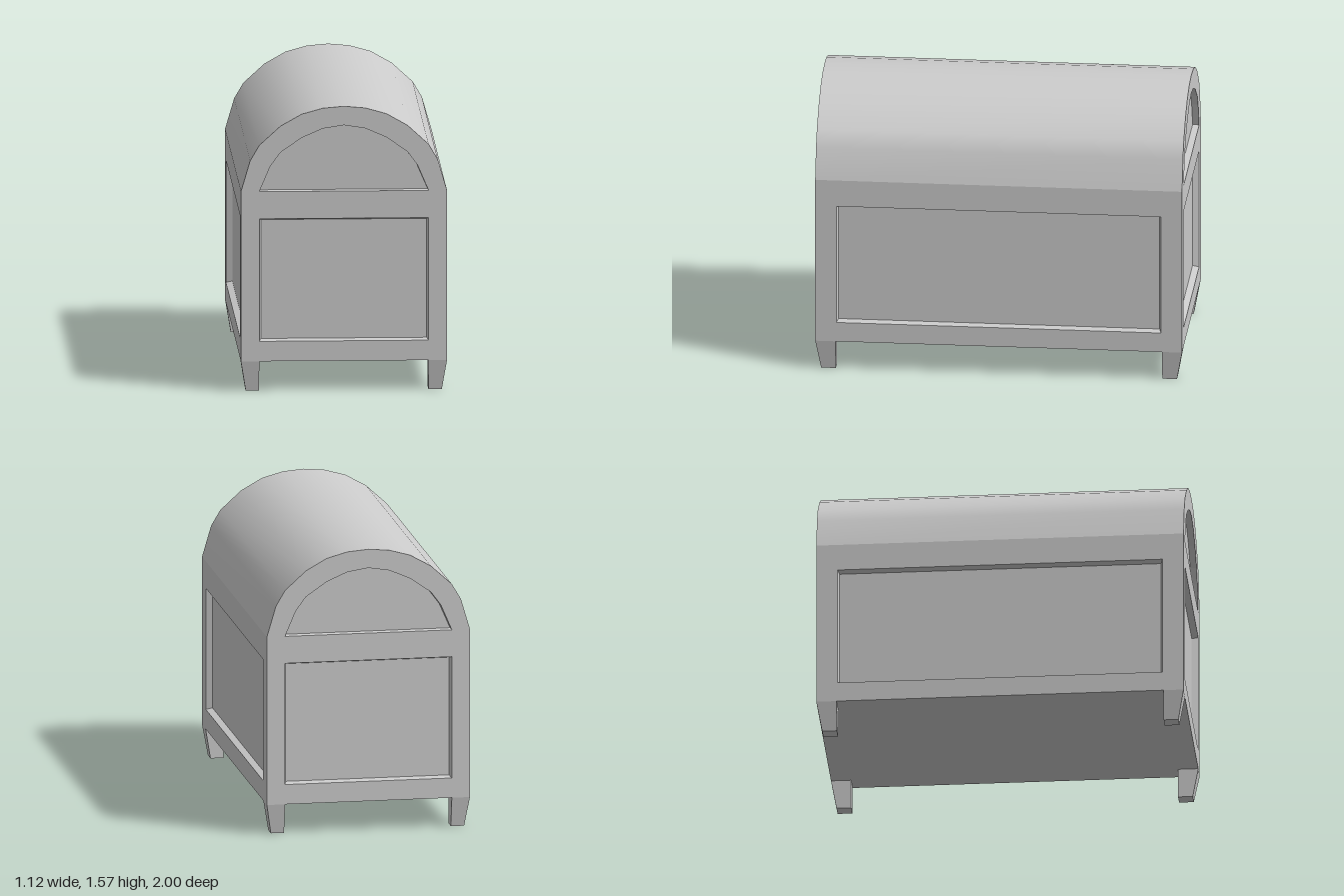
import * as THREE from 'three';

const material = new THREE.MeshStandardMaterial({ color: 0xcccccc });
const W = 0.56, L = 1, BASE = 0.165, EAVE = 1.1, DEPTH = 0.035;

const vec = (x, y) => new THREE.Vector2(x, y);
// Full counter-clockwise arch from the right half, ending at the crown
const mirrorArch = (half) => {
  const right = half.map(([x, y]) => vec(x, y));
  return [...right, ...right.slice(0, -1).reverse().map((p) => vec(-p.x, p.y))];
};
const rect = (w, y0, y1) => [vec(-w, y0), vec(w, y0), vec(w, y1), vec(-w, y1)];

const roofLine = mirrorArch([[W, EAVE], [0.51, 1.27], [0.46, 1.355], [0.345, 1.46], [0.23, 1.525], [0.115, 1.557], [0, 1.567]]);
const archWindow = mirrorArch([[0.46, EAVE], [0.4, 1.24], [0.345, 1.315], [0.23, 1.395], [0.115, 1.445], [0, 1.463]]);

function addMesh(parent, geometry, name) {
  const mesh = new THREE.Mesh(geometry, material);
  mesh.name = name;
  parent.add(mesh);
  return mesh;
}

// Strip of quads between two outlines, given as lists of Vector3
function strip(a, b, closed, smooth) {
  const n = a.length, index = [];
  for (let i = 0; i < (closed ? n : n - 1); i++) {
    const j = (i + 1) % n;
    index.push(i, j, n + i, j, n + j, n + i);
  }
  let g = new THREE.BufferGeometry().setFromPoints([...a, ...b]);
  g.setIndex(index);
  if (!smooth) g = g.toNonIndexed();
  g.computeVertexNormals();
  return g;
}

// Flat wall with sunken panels whose reveals taper slightly inward
function panelledWall(name, outline, recesses) {
  const wall = new THREE.Group();
  wall.name = name;
  const shape = new THREE.Shape(outline);
  for (const { points, taper } of recesses) {
    shape.holes.push(new THREE.Path(points));
    const box = new THREE.Box2().setFromPoints(points);
    const centre = box.getCenter(vec(0, 0)), size = box.getSize(vec(0, 0));
    const inner = points.map((p) => vec(
      centre.x + (p.x - centre.x) * (1 - 2 * taper / size.x),
      centre.y + (p.y - centre.y) * (1 - 2 * taper / size.y)));
    const at = (pts, z) => pts.map((p) => new THREE.Vector3(p.x, p.y, z));
    addMesh(wall, strip(at(points, 0), at(inner, -DEPTH), true, false), 'panelReveal');
    addMesh(wall, new THREE.ShapeGeometry(new THREE.Shape(inner)), 'sunkenPanel').position.z = -DEPTH;
  }
  addMesh(wall, new THREE.ShapeGeometry(shape), 'frame');
  return wall;
}

export function createModel() {
  const model = new THREE.Group();
  model.name = 'archedChest';

  // Front and back ends, then the two long sides
  for (const s of [1, -1]) {
    const end = panelledWall(s > 0 ? 'frontEnd' : 'backEnd',
      [vec(-W, BASE), vec(W, BASE), ...roofLine],
      [{ points: rect(0.46, 0.275, 0.95), taper: 0.01 }, { points: archWindow, taper: 0.004 }]);
    end.position.z = s * L;
    end.rotation.y = s > 0 ? 0 : Math.PI;

    const side = panelledWall(s > 0 ? 'leftSide' : 'rightSide',
      rect(L, BASE, EAVE), [{ points: rect(0.885, 0.275, 0.95), taper: 0.01 }]);
    side.position.x = s * W;
    side.rotation.y = s * Math.PI / 2;
    model.add(end, side);
  }

  // Barrel roof
  const along = (z) => roofLine.map((p) => new THREE.Vector3(p.x, p.y, z));
  addMesh(model, strip(along(-L), along(L), false, true), 'roof');

  // Underside
  const bottom = addMesh(model, new THREE.PlaneGeometry(2 * W, 2 * L), 'underside');
  bottom.rotation.x = Math.PI / 2;
  bottom.position.y = BASE;

  // Corner legs, tapering on their outer faces only
  for (const sx of [1, -1]) for (const sz of [1, -1]) {
    const g = new THREE.BoxGeometry(0.1, BASE, 0.11);
    const p = g.attributes.position;
    for (let i = 0; i < p.count; i++) {
      if (p.getY(i) > 0) continue;
      if (p.getX(i) * sx > 0) p.setX(i, p.getX(i) - sx * 0.027);
      if (p.getZ(i) * sz > 0) p.setZ(i, p.getZ(i) - sz * 0.03);
    }
    g.computeVertexNormals();
    const leg = addMesh(model, g, `${sz > 0 ? 'front' : 'back'}${sx > 0 ? 'Left' : 'Right'}Leg`);
    leg.position.set(sx * (W - 0.05), BASE / 2, sz * (L - 0.055));
  }
  return model;
}
